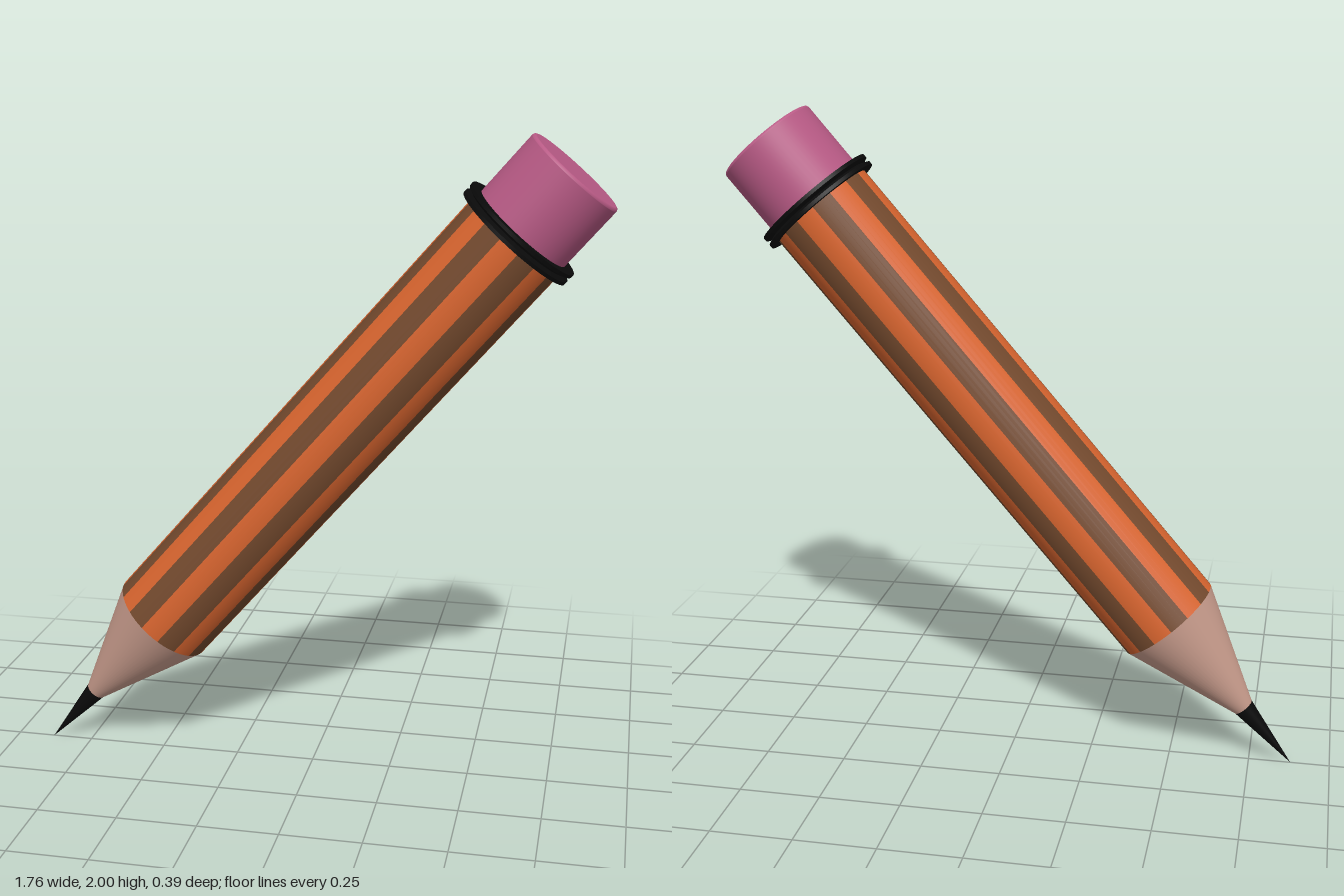
import * as THREE from 'three';

const V = (x, y) => new THREE.Vector2(x, y);
const mat = (color) => new THREE.MeshStandardMaterial({ color });

export function createModel() {
  const model = new THREE.Group();
  model.name = 'pencil';

  // Built upright with the point at the origin, then leaned over
  const pencil = new THREE.Group();
  pencil.name = 'leaningPencil';
  pencil.position.set(-0.88, 0, 0);
  pencil.rotation.z = -0.713;
  model.add(pencil);

  const add = (name, geometry, material, y = 0, parent = pencil) => {
    const mesh = new THREE.Mesh(geometry, material);
    mesh.name = name;
    mesh.position.y = y;
    parent.add(mesh);
    return mesh;
  };

  const R = 0.167, coneBase = 0.234, bodyBase = 0.603, bodyTop = 2.268;

  // Lead and sharpened wood
  const black = mat(0x0a0a0a);
  add('leadTip', new THREE.CylinderGeometry(0.033, 0, coneBase, 32), black, coneBase / 2);
  const coneH = bodyBase - coneBase;
  add('woodCone', new THREE.CylinderGeometry(R, 0.033, coneH, 64), mat(0xcc9f8f), coneBase + coneH / 2);

  // Barrel of sixteen alternating stripes
  const barrel = new THREE.Group();
  barrel.name = 'barrel';
  pencil.add(barrel);
  const paints = [mat(0xd9652f), mat(0x744a2e)];
  const step = Math.PI / 8, bodyH = bodyTop - bodyBase;
  for (let i = 0; i < 16; i++) {
    const stripe = new THREE.CylinderGeometry(R, R, bodyH, 4, 1, true, (i - 0.5) * step, step);
    add(i % 2 ? 'darkStripe' : 'lightStripe', stripe, paints[i % 2], bodyBase + bodyH / 2, barrel);
  }

  // Collar with a V groove round its rim; each segment keeps sharp edges
  const collar = new THREE.Group();
  collar.name = 'collar';
  pencil.add(collar);
  const rim = [V(0.15, -0.019), V(0.196, -0.019), V(0.196, -0.008), V(0.178, 0),
    V(0.196, 0.008), V(0.196, 0.019), V(0.15, 0.019)];
  for (let i = 0; i < rim.length - 1; i++) {
    add('collarFace', new THREE.LatheGeometry([rim[i], rim[i + 1]], 64), black, bodyTop, collar);
  }

  // Eraser with a slightly softened end
  const r = 0.161, h = 2.506 - bodyTop, b = 0.008;
  const profile = [V(r, 0), V(r, h - b - 0.001), V(r, h - b), V(r - b * 0.3, h - b * 0.3),
    V(r - b, h), V(r - b - 0.001, h), V(0, h)];
  add('eraser', new THREE.LatheGeometry(profile, 64), mat(0xb85a85), bodyTop);

  return model;
}
